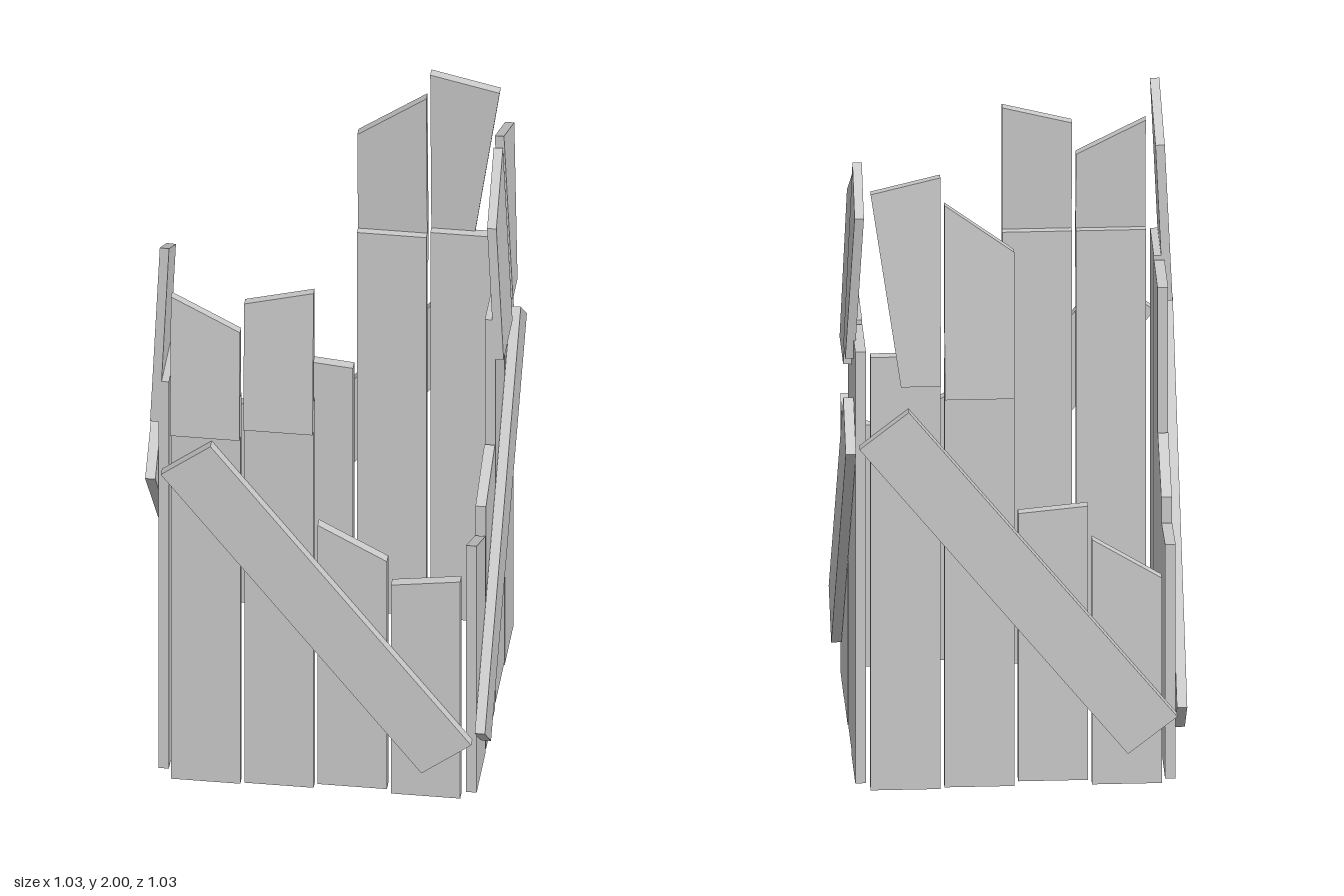
import * as THREE from 'three';

const material = new THREE.MeshStandardMaterial({ color: 0xcccccc, flatShading: true });
const plankWidth = 0.21;
const plankPitch = 0.222;
const plankBottoms = [0.005, 0.01, 0.025, 0.01];

// Board in one of the four slots of a wall: slanted top, bottom corners can be cut inward
function board(name, slot, bottom, [topLeft, topRight], thickness, cutLeft = 0, cutRight = 0) {
  const shape = new THREE.Shape();
  shape.moveTo(cutLeft, 0);
  shape.lineTo(plankWidth - cutRight, 0);
  shape.lineTo(plankWidth, topRight - bottom);
  shape.lineTo(0, topLeft - bottom);
  const geometry = new THREE.ExtrudeGeometry(shape, { depth: thickness, bevelEnabled: false });
  const mesh = new THREE.Mesh(geometry, material);
  mesh.name = name;
  mesh.position.set(-0.438 + slot * plankPitch, bottom, 0.45);
  return mesh;
}

// Upper board overlaps the planks on the outside and leans inward
function upperBoard(slot, bottom, tops, cutLeft, cutRight) {
  const mesh = board('upperBoard', slot, bottom, tops, 0.028, cutLeft, cutRight);
  mesh.position.z = 0.479;
  mesh.rotation.x = -0.046;
  return mesh;
}

// One wall seen from outside: plank tops from left to right, upper boards, brace angle
function wall(name, turn, plankTops, upperBoards, braceAngle) {
  const group = new THREE.Group();
  group.name = name;
  group.rotation.y = turn;
  plankTops.forEach((tops, slot) => {
    group.add(board('plank', slot, plankBottoms[slot], tops, 0.032));
  });
  group.add(...upperBoards);

  // Diagonal brace across the outside
  const brace = new THREE.Mesh(new THREE.BoxGeometry(1.295, 0.19, 0.031), material);
  brace.name = 'diagonalBrace';
  brace.position.set(0.005, 0.686, 0.4985);
  brace.rotation.z = braceAngle;
  group.add(brace);
  return group;
}

export function createModel() {
  const model = new THREE.Group();
  model.name = 'plankEnclosure';
  model.add(
    wall('frontWall', 0,
      [[1.42, 1.42], [1.42, 1.42], [0.975, 0.86], [0.775, 0.805]],
      [upperBoard(0, 1.28, [1.775, 1.665]), upperBoard(1, 1.32, [1.77, 1.825])],
      -0.915),
    wall('rightHandWall', Math.PI / 2,
      [[0.91, 0.8], [0.9, 0.98], [1.43, 1.43], [1.42, 1.42]],
      [upperBoard(2, 1.285, [1.765, 1.915]), upperBoard(3, 1.355, [1.95, 1.855], 0, 0.103)],
      0.856),
    wall('backWall', Math.PI,
      [[1.42, 1.42], [1.4, 1.4], [0.9, 0.92], [0.81, 0.68]],
      [upperBoard(0, 1.33, [1.95, 2], 0.09, 0), upperBoard(1, 1.285, [1.91, 1.755])],
      -0.897),
    wall('leftHandWall', -Math.PI / 2,
      [[0.77, 0.75], [0.83, 0.95], [1.42, 1.42], [1.43, 1.43]],
      [upperBoard(3, 1.28, [1.79, 1.92])],
      0.857),
  );
  return model;
}
